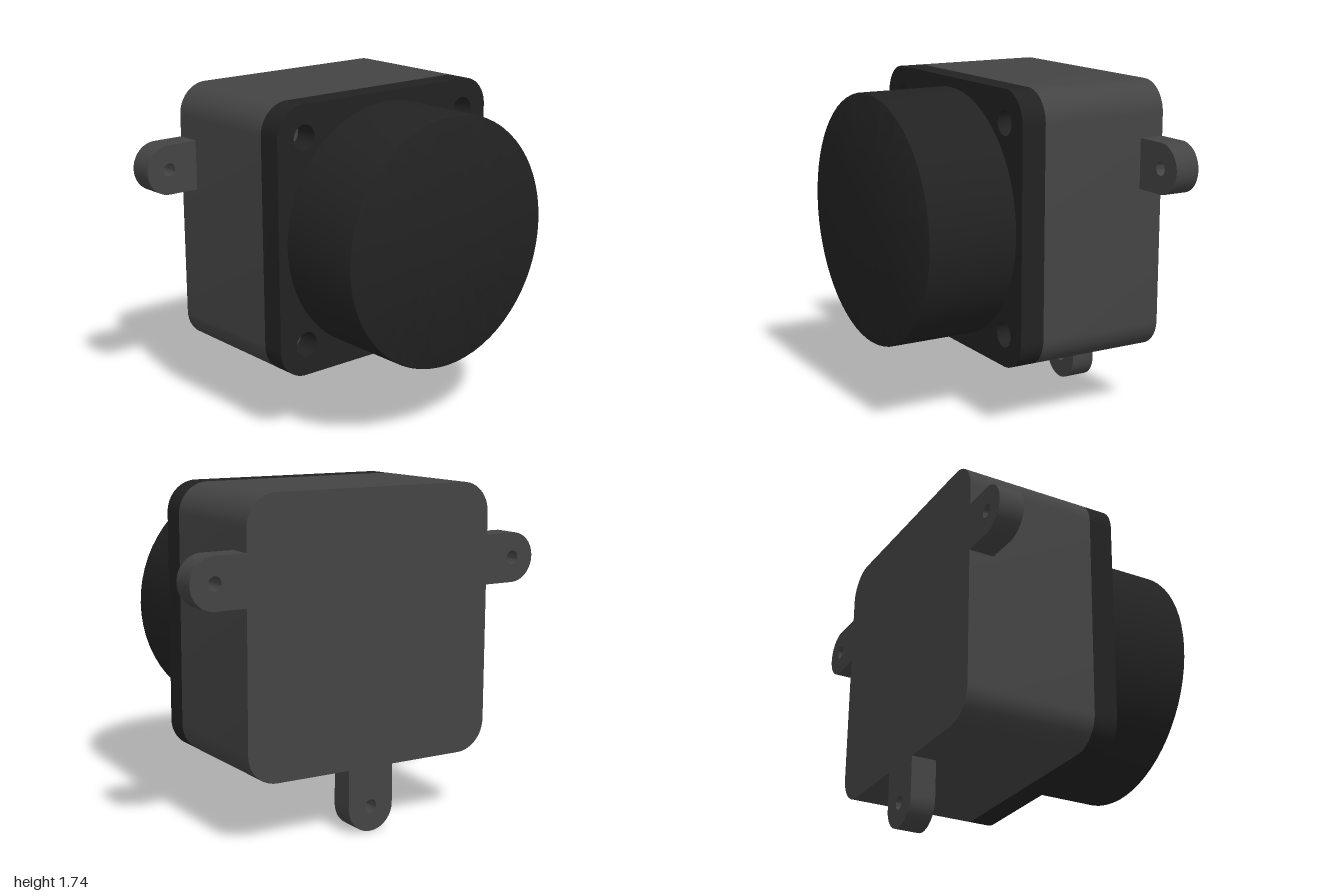
import * as THREE from 'three';
import { toCreasedNormals } from 'three/addons/utils/BufferGeometryUtils.js';

const CENTRE_Y = 1.037;
const HALF = 0.703;
const BACK = -0.655;

// Square outline with rounded corners
function roundedSquare(h, r) {
  const s = new THREE.Shape();
  s.absarc(h - r, h - r, r, 0, Math.PI / 2);
  s.absarc(r - h, h - r, r, Math.PI / 2, Math.PI);
  s.absarc(r - h, r - h, r, Math.PI, Math.PI * 1.5);
  s.absarc(h - r, r - h, r, Math.PI * 1.5, Math.PI * 2);
  s.closePath();
  return s;
}

function addHole(shape, x, y, r) {
  const p = new THREE.Path();
  p.absarc(x, y, r, 0, Math.PI * 2, true);
  shape.holes.push(p);
}

function extrude(shape, depth, z, curveSegments) {
  const g = new THREE.ExtrudeGeometry(shape, { depth, bevelEnabled: false, curveSegments });
  g.translate(0, 0, z);
  return toCreasedNormals(g, 0.7);
}

export function createModel() {
  const group = new THREE.Group();
  const grey = new THREE.MeshStandardMaterial({ color: 0x444444 });
  const black = new THREE.MeshStandardMaterial({ color: 0x222222 });

  const add = (name, geometry, material, y = CENTRE_Y) => {
    const mesh = new THREE.Mesh(geometry, material);
    mesh.name = name;
    mesh.position.y = y;
    group.add(mesh);
    return mesh;
  };

  // Housing box
  add('housing', extrude(roundedSquare(HALF, 0.16), 0.7, BACK, 6), grey);

  // Front plate with four screw holes
  const plate = roundedSquare(HALF, 0.16);
  for (const x of [-0.537, 0.537])
    for (const y of [-0.537, 0.537]) addHole(plate, x, y, 0.065);
  add('frontPlate', extrude(plate, 0.13, 0.045, 12), black);

  // Round button with a slightly softened rim
  const profile = [[0.65, 0], [0.65, 0.468], [0.647, 0.476], [0.638, 0.48], [0, 0.48]]
    .map(([r, h]) => new THREE.Vector2(r, h));
  const button = new THREE.LatheGeometry(profile, 64);
  button.rotateX(Math.PI / 2);
  button.translate(0, 0, 0.175);
  add('button', toCreasedNormals(button, 0.6), black);

  // Mounting lugs: drawn pointing down with the hole centre at the origin
  const lug = new THREE.Shape();
  lug.moveTo(0.13, 0.22);
  lug.lineTo(-0.13, 0.22);
  lug.lineTo(-0.13, 0);
  lug.absarc(0, 0, 0.13, Math.PI, Math.PI * 2);
  lug.closePath();
  addHole(lug, 0, 0, 0.035);
  const lugGeometry = extrude(lug, 0.133, BACK, 16);

  add('bottomLug', lugGeometry, grey, 0.13);
  for (const side of [1, -1]) {
    const mesh = add(side > 0 ? 'leftLug' : 'rightLug', lugGeometry, grey, 1.335);
    mesh.position.x = side * 0.87;
    mesh.rotation.z = side * Math.PI / 2;
  }

  return group;
}
